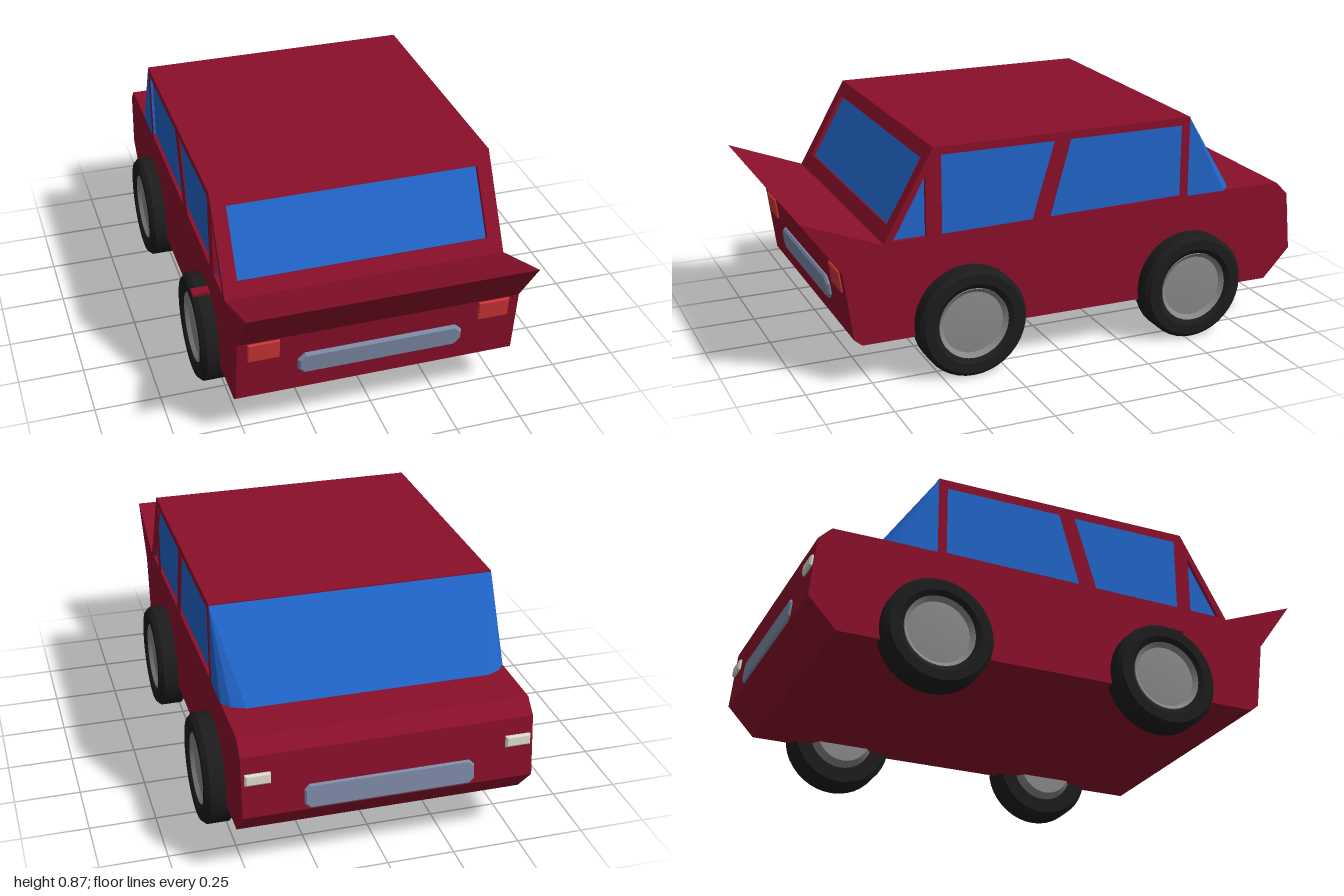
import * as THREE from 'three';
import { toCreasedNormals } from 'three/addons/utils/BufferGeometryUtils.js';
import { ConvexGeometry } from 'three/addons/geometries/ConvexGeometry.js';

const mat = (color) => new THREE.MeshStandardMaterial({ color });
const RED = mat(0x8a0f2a), GLASS = mat(0x2064c8), CHROME = mat(0x7c8aa6), TYRE = mat(0x1c1c1c),
  RIM = mat(0x888888), TAIL = mat(0xcc3636), LAMP = mat(0xd8d8cc);
const X0 = -0.535, X1 = 0.525, SKIN = 0.015;

function add(parent, name, geometry, material) {
  const mesh = new THREE.Mesh(geometry, material);
  mesh.name = name;
  parent.add(mesh);
  return mesh;
}

// Side outline given as [z, y] points, extruded across x
const outline = (pts, Type = THREE.Shape) => new Type(pts.map(([z, y]) => new THREE.Vector2(-z, y)));
function across(pts, xa, xb, holes = []) {
  const shape = outline(pts);
  shape.holes = holes.map((h) => outline(h, THREE.Path));
  const g = new THREE.ExtrudeGeometry(shape, { depth: xb - xa, bevelEnabled: false });
  return g.rotateY(Math.PI / 2).translate(xa, 0, 0);
}

function rect(x0, y0, x1, y1, c = 0, Type = THREE.Shape) {
  const p = c
    ? [[x0 + c, y0], [x1 - c, y0], [x1, y0 + c], [x1, y1 - c], [x1 - c, y1], [x0 + c, y1], [x0, y1 - c], [x0, y0 + c]]
    : [[x0, y0], [x1, y0], [x1, y1], [x0, y1]];
  return new Type(p.map(([x, y]) => new THREE.Vector2(x, y)));
}

// Bevelled plate lying in the xy plane, centred on the origin
function plate(w, h, d, bevel, corner = 0) {
  return new THREE.ExtrudeGeometry(
    rect(-w / 2 + bevel, -h / 2 + bevel, w / 2 - bevel, h / 2 - bevel, corner),
    { depth: d, bevelThickness: bevel, bevelSize: bevel, bevelSegments: 1 }).translate(0, 0, -d / 2);
}

function makeWheel() {
  const wheel = new THREE.Group();
  const lathe = (pts) => toCreasedNormals(
    new THREE.LatheGeometry(pts.map(([r, y]) => new THREE.Vector2(r, y)), 40).rotateZ(-Math.PI / 2), 0.4);
  add(wheel, 'tyre', lathe([[0.12, 0], [0.19, 0], [0.208, 0.018], [0.208, 0.098], [0.192, 0.115], [0.155, 0.115], [0.135, 0.1]]), TYRE);
  add(wheel, 'rim', lathe([[0, -0.03], [0.11, -0.03], [0.13, 0], [0.135, 0.107], [0.118, 0.092], [0, 0.1]]), RIM);
  return wheel;
}

export function createModel() {
  const car = new THREE.Group();
  car.name = 'car';

  // Lower body with hood and upswept tail
  const lower = [[0.70, 0.535], [1.0, 0.65], [0.855, 0.45], [0.82, 0.19], [0.79, 0.165], [-0.885, 0.165],
    [-0.993, 0.28], [-0.97, 0.51], [-0.92, 0.56], [-0.52, 0.56]];
  add(car, 'lowerBody', across(lower, X0, X1), RED);

  // Cabin: side panels with window openings around a glass core
  const cabin = [[0.70, 0.535], [0.51, 0.87], [-0.52, 0.87], [-0.52, 0.56]];
  const windows = [
    [[0.667, 0.541], [0.54, 0.543], [0.54, 0.772]],
    [[0.48, 0.545], [0.48, 0.84], [0.04, 0.84], [0.127, 0.551]],
    [[0.055, 0.553], [-0.025, 0.84], [-0.485, 0.84], [-0.485, 0.562]],
  ];
  add(car, 'rightCabinSide', across(cabin, X0, X0 + SKIN, windows), RED);
  add(car, 'leftCabinSide', across(cabin, X1 - SKIN, X1, windows), RED);
  add(car, 'roof', across([[0.51, 0.87], [-0.52, 0.87], [-0.52, 0.845], [0.524, 0.845]], X0 + SKIN, X1 - SKIN), RED);
  add(car, 'windowGlass', across([[0.675, 0.53], [0.495, 0.85], [-0.515, 0.85], [-0.515, 0.55]],
    X0 + SKIN, X1 - SKIN), GLASS);

  // Sloped frame around the +z window
  const frame = rect(X0 + SKIN, 0, X1 - SKIN, 0.385);
  frame.holes.push(rect(-0.48, 0.061, 0.47, 0.33, 0, THREE.Path));
  const frameMesh = add(car, 'slopedWindowFrame',
    new THREE.ExtrudeGeometry(frame, { depth: SKIN, bevelEnabled: false }).translate(0, 0, -SKIN), RED);
  frameMesh.position.set(0, 0.535, 0.70);
  frameMesh.rotation.x = -Math.atan2(0.19, 0.335);

  // Wraparound windshield: straight top edge, rounded foot
  const foot = [];
  for (const [x, s] of [[X0, 1], [X1, -1]]) {
    foot.push(new THREE.Vector3(x, 0.866, -0.52));
    for (const [inset, z] of [[0, -0.52], [0, -0.68], [0.03, -0.715], [0.08, -0.738]])
      foot.push(new THREE.Vector3(x + s * inset, 0.558, z));
  }
  add(car, 'windshield', new ConvexGeometry(foot), GLASS);

  // Bumpers and lamps on the two slightly tilted ends
  const rearTilt = Math.atan2(0.035, 0.26), frontTilt = Math.atan2(0.023, 0.23);
  const onRear = (name, g, m, x, y) => {
    const p = add(car, name, g, m);
    p.position.set(x, y, 0.82 + (y - 0.19) * 0.135);
    p.rotation.x = rearTilt;
  };
  const onFront = (name, g, m, x, y) => {
    const p = add(car, name, g, m);
    p.position.set(x, y, -0.993 + (y - 0.28) * 0.1);
    p.rotation.x = frontTilt;
  };
  onRear('plusZBumper', plate(0.62, 0.092, 0.012, 0.008, 0.02), CHROME, 0, 0.312);
  onFront('minusZBumper', plate(0.62, 0.092, 0.006, 0.006, 0.015), CHROME, -0.005, 0.33);
  for (const s of [-1, 1]) {
    onRear('redLamp', plate(0.118, 0.082, 0.008, 0.004), TAIL, s * 0.433 - 0.005, 0.405);
    onFront('whiteLamp', plate(0.092, 0.042, 0.014, 0.006), LAMP, s * 0.473 - 0.005, 0.425);
  }

  // Wheels
  for (const z of [0.385, -0.525]) {
    for (const s of [-1, 1]) {
      const wheel = makeWheel();
      wheel.name = s > 0 ? 'leftWheel' : 'rightWheel';
      wheel.position.set(s * 0.485, s > 0 ? 0.208 : 0.214, z);
      if (s < 0) wheel.rotation.y = Math.PI;
      car.add(wheel);
    }
  }

  // Small red tab over one wheel
  add(car, 'wheelTab', new THREE.BoxGeometry(0.065, 0.012, 0.04), RED).position.set(-0.567, 0.413, 0.445);
  return car;
}
